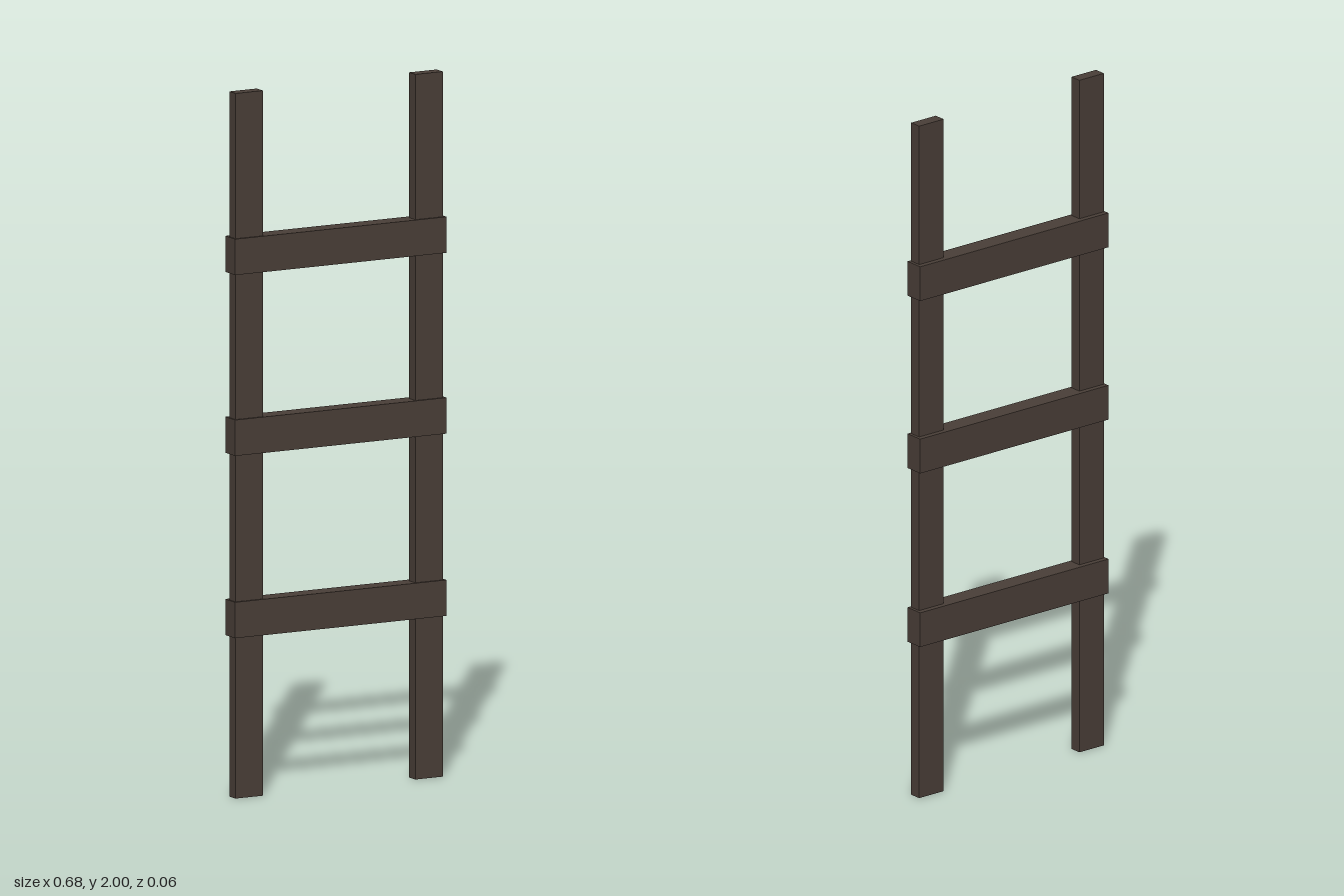
import * as THREE from 'three';

export function createModel() {
  const model = new THREE.Group();
  model.name = 'ladder';
  const darkWood = new THREE.MeshStandardMaterial({ color: 0x4a3f38 });
  darkWood.name = 'darkWood';

  const plank = (name, size, position) => {
    const mesh = new THREE.Mesh(new THREE.BoxGeometry(...size), darkWood);
    mesh.name = name;
    mesh.position.set(...position);
    model.add(mesh);
  };

  // Upright rails, set slightly forward inside the rungs
  plank('leftRail', [0.088, 2, 0.035], [0.285, 1, 0.005]);
  plank('rightRail', [0.088, 2, 0.035], [-0.29, 1, 0.005]);

  // Rungs, thicker than the rails and overhanging their outer edges
  [0.507, 1.024, 1.537].forEach((y, i) => {
    plank(`rung${i + 1}`, [0.676, 0.102, 0.056], [0, y, 0]);
  });

  return model;
}
